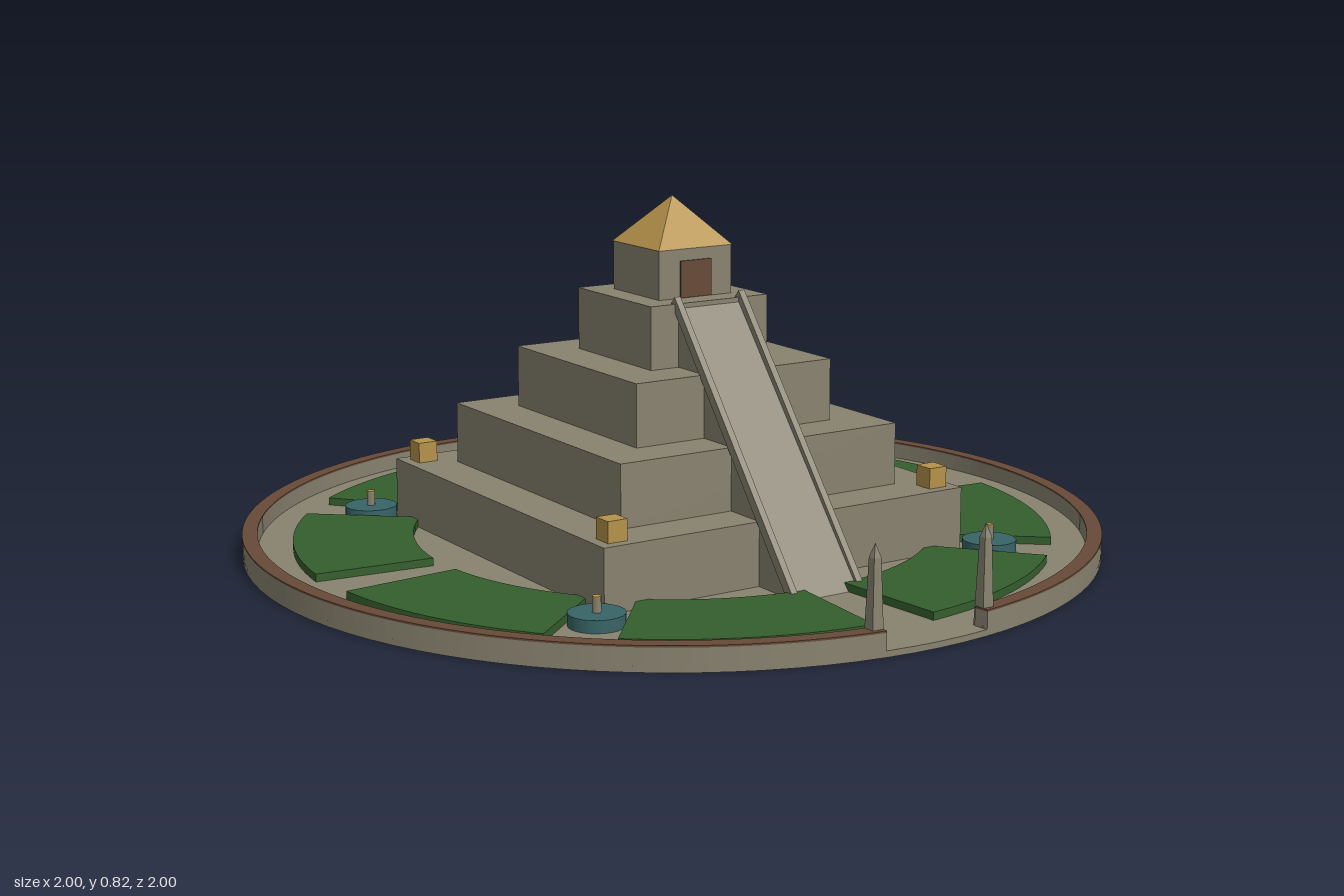
import * as THREE from 'three';

const material = (name, color) => {
  const m = new THREE.MeshStandardMaterial({ color });
  m.name = name;
  return m;
};

export function createModel() {
  const model = new THREE.Group();
  model.name = 'steppedTemple';
  const stone = material('stone', 0x88826f);
  const gold = material('gold', 0xb5924a);
  const grass = material('grass', 0x355e2d);
  const clay = material('clay', 0x674a38);
  const water = material('water', 0x386467);
  const FLOOR = 0.014;
  const rad = THREE.MathUtils.degToRad;

  const add = (name, geometry, mat, x = 0, y = 0, z = 0, parent = model) => {
    const mesh = new THREE.Mesh(geometry, mat);
    mesh.name = name;
    mesh.position.set(x, y, z);
    parent.add(mesh);
    return mesh;
  };

  // Box standing on height y
  const block = (name, w, h, d, mat, x, y, z, parent) =>
    add(name, new THREE.BoxGeometry(w, h, d), mat, x, y + h / 2, z, parent);

  // Flat ring sector standing on height y; angles in degrees from +x towards -z
  const sector = (name, inner, outer, from, to, h, y, mat) => {
    const shape = new THREE.Shape();
    shape.absarc(0, 0, outer, rad(from), rad(to), false);
    shape.absarc(0, 0, inner, rad(to), rad(from), true);
    const g = new THREE.ExtrudeGeometry(shape, {
      depth: h, bevelEnabled: false, curveSegments: to - from > 90 ? 96 : 16,
    });
    g.rotateX(-Math.PI / 2);
    return add(name, g, mat, 0, y, 0);
  };

  // Square pyramid or tapered post aligned with the axes
  const taper = (topHalf, bottomHalf, h) => {
    const g = new THREE.CylinderGeometry(topHalf * Math.SQRT2, bottomHalf * Math.SQRT2, h, 4, 1).toNonIndexed();
    g.rotateY(Math.PI / 4);
    g.translate(0, h / 2, 0);
    g.computeVertexNormals();
    return g;
  };

  // Round court with a low wall, open at the front
  add('courtFloor', new THREE.CylinderGeometry(1, 1, FLOOR, 96), stone, 0, FLOOR / 2, 0);
  sector('courtWall', 0.965, 1, -82.5, 262.5, 0.052 - FLOOR, FLOOR, stone);
  sector('wallCap', 0.965, 1, -82.5, 262.5, 0.004, 0.052, clay);

  // Eight garden beds, two in each quadrant
  for (let q = 0; q < 4; q++) {
    for (const start of [5, 50]) {
      sector('gardenBed', 0.607, 0.885, q * 90 + start, q * 90 + start + 35, 0.018, FLOOR, grass);
    }
  }

  // Stepped tiers
  const tiers = [[0.48, 0.16], [0.371, 0.304], [0.263, 0.448], [0.158, 0.593]];
  let base = FLOOR;
  for (const [half, top] of tiers) {
    block('tier', half * 2, top - base, half * 2, stone, 0, base, 0);
    base = top;
  }

  // Shrine with doorway and golden roof
  block('shrine', 0.196, 0.113, 0.196, stone, 0, 0.593, 0);
  block('doorway', 0.084, 0.085, 0.006, clay, 0, 0.594, 0.099);
  add('roof', taper(0, 0.1, 0.11), gold, 0, 0.706, 0);

  // Front ramp with side rails, extruded across x from (z, y) profiles
  const acrossX = (name, points, width, x) => {
    const shape = new THREE.Shape(points.map(([z, y]) => new THREE.Vector2(-z, y)));
    const g = new THREE.ExtrudeGeometry(shape, { depth: width, bevelEnabled: false });
    g.translate(0, 0, -width / 2);
    g.rotateY(Math.PI / 2);
    add(name, g, stone, x, 0, 0);
  };
  acrossX('ramp', [[0.62, FLOOR], [0.15, FLOOR], [0.15, 0.592]], 0.17, 0);
  for (const side of [-1, 1]) {
    acrossX('rampRail',
      [[0.63, FLOOR], [0.6, FLOOR], [0.143, 0.593], [0.157, 0.609]], 0.016, side * 0.087);
  }

  // Obelisks beside the entrance
  for (const side of [-1, 1]) {
    const obelisk = new THREE.Group();
    obelisk.name = 'obelisk';
    obelisk.position.set(side * 0.143, FLOOR, 0.965);
    model.add(obelisk);
    add('obeliskShaft', taper(0.009, 0.015, 0.19), stone, 0, 0, 0, obelisk);
    add('obeliskTip', taper(0, 0.009, 0.03), stone, 0, 0.19, 0, obelisk);
  }

  // Corner braziers and fountains
  for (const sx of [-1, 1]) {
    for (const sz of [-1, 1]) {
      block('brazier', 0.048, 0.048, 0.048, gold, sx * 0.431, 0.16, sz * 0.431);
      const fountain = new THREE.Group();
      fountain.name = 'fountain';
      fountain.position.set(sx * 0.527, FLOOR, sz * 0.527);
      model.add(fountain);
      add('fountainBasin', new THREE.CylinderGeometry(0.062, 0.062, 0.028, 24), water, 0, 0.014, 0, fountain);
      add('fountainSpout', new THREE.CylinderGeometry(0.01, 0.01, 0.032, 10), stone, 0, 0.044, 0, fountain);
      add('spoutCap', new THREE.CylinderGeometry(0.01, 0.01, 0.003, 10), gold, 0, 0.0615, 0, fountain);
    }
  }
  return model;
}
